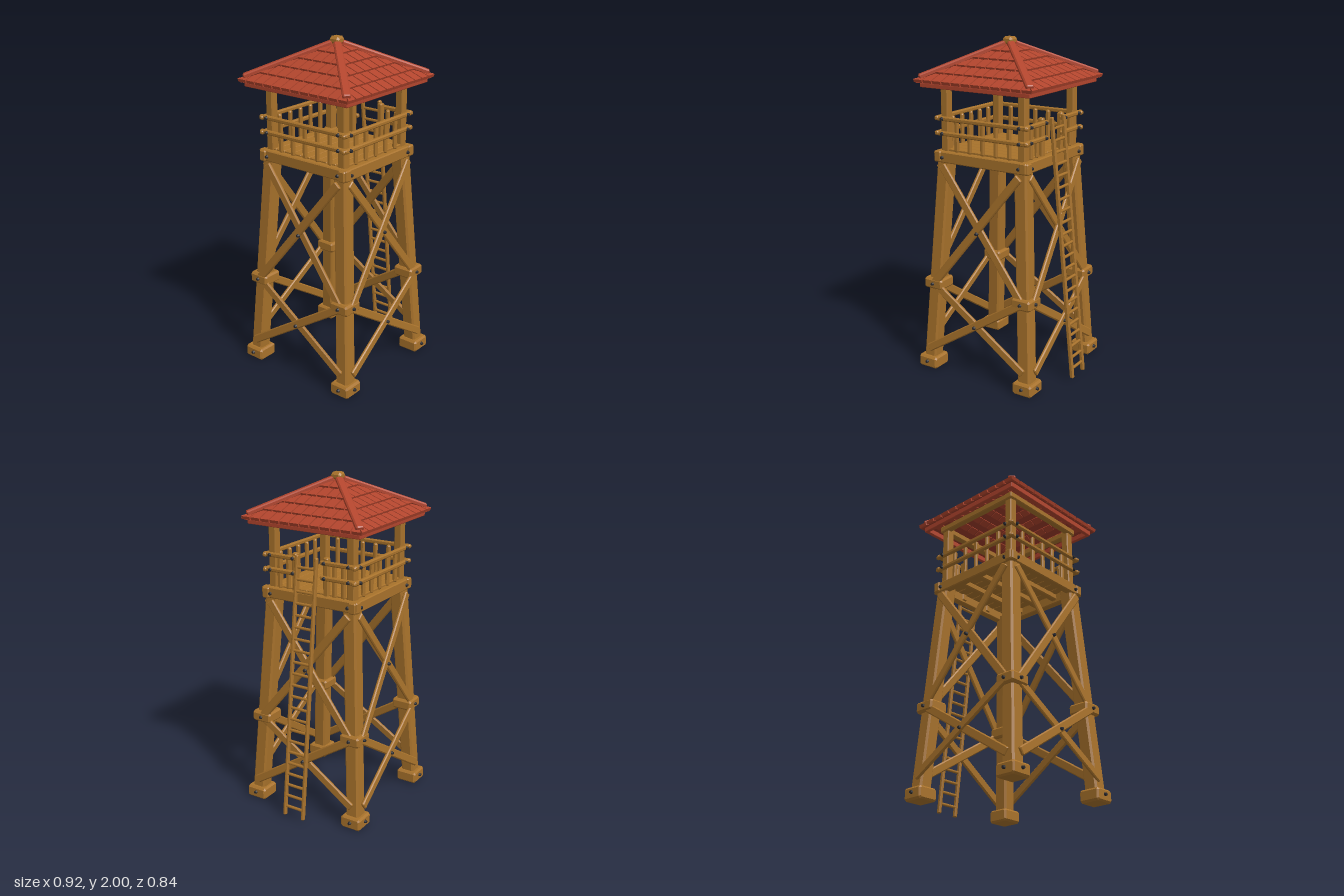
import * as THREE from 'three';

const mat = (name, color) => {
  const m = new THREE.MeshStandardMaterial({ color });
  m.name = name;
  return m;
};

export function createModel() {
  const wood = mat('wood', 0xa8722b);
  const red = mat('roof red', 0xb2452d);
  const redDeck = mat('roof underside red', 0x9a3a28);
  redDeck.side = THREE.DoubleSide;
  const iron = mat('iron', 0x2b2b30);

  const model = new THREE.Group();
  model.name = 'watchtower';
  const tower = new THREE.Group();
  tower.name = 'tower';
  tower.position.x = -0.045;
  model.add(tower);

  const V = (x, y, z) => new THREE.Vector3(x, y, z);

  // Box with cut edges, centred on the origin
  function chamferBox(w, h, d, c = 0.006) {
    const x = w / 2 - c, y = h / 2 - c;
    const k = c * 0.6;
    const s = new THREE.Shape([
      [-x + k, -y], [x - k, -y], [x, -y + k], [x, y - k],
      [x - k, y], [-x + k, y], [-x, y - k], [-x, -y + k],
    ].map(([a, b]) => new THREE.Vector2(a, b)));
    const g = new THREE.ExtrudeGeometry(s, {
      depth: d - 2 * c, bevelEnabled: true, bevelSize: c, bevelThickness: c, bevelSegments: 1,
    });
    return g.translate(0, 0, -(d / 2 - c));
  }

  function block(parent, name, size, pos, m = wood, c) {
    const mesh = new THREE.Mesh(chamferBox(...size, c), m);
    mesh.name = name;
    mesh.position.set(...pos);
    parent.add(mesh);
    return mesh;
  }

  // Timber from a to b; thickness is measured along the given normal
  function beam(parent, name, a, b, width, thick, normal, m = wood, c = 0.005) {
    const z = b.clone().sub(a), len = z.length();
    z.normalize();
    const x = normal.clone().cross(z).normalize();
    const y = z.clone().cross(x);
    const mesh = new THREE.Mesh(chamferBox(width, thick, len, c), m);
    mesh.name = name;
    mesh.quaternion.setFromRotationMatrix(new THREE.Matrix4().makeBasis(x, y, z));
    mesh.position.copy(a).add(b).multiplyScalar(0.5);
    parent.add(mesh);
    return mesh;
  }

  // Bolt head facing +z
  const boltGeo = new THREE.CylinderGeometry(0.008, 0.012, 0.016, 8).rotateX(Math.PI / 2);
  function bolt(parent, x, y, z) {
    const b = new THREE.Mesh(boltGeo, iron);
    b.name = 'bolt';
    b.position.set(x, y, z);
    parent.add(b);
  }

  const legAt = y => 0.345 - 0.062 * y; // leg offset from the axis at height y
  const faceNormal = V(0, 0.062, 1).normalize();
  const slope = 0.53, eave = 0.4, eaveY = 1.742;
  const roofY = d => eaveY + (eave - d) * slope;

  // Everything that repeats on the four sides
  for (let k = 0; k < 4; k++) {
    const side = new THREE.Group();
    side.name = ['frontSide', 'leftSide', 'backSide', 'rightSide'][k];
    side.rotation.y = k * Math.PI / 2;
    tower.add(side);
    const ladderSide = k === 1;

    // Corner: foot, leaning leg, collar and upper post
    block(side, 'foot', [0.13, 0.075, 0.13], [0.342, 0.0375, 0.342], wood, 0.01);
    beam(side, 'leg', V(legAt(0.05), 0.05, legAt(0.05)), V(legAt(1.33), 1.33, legAt(1.33)),
      0.084, 0.084, V(0, 0, 1), wood, 0.009);
    block(side, 'collar', [0.128, 0.066, 0.128], [legAt(0.545), 0.545, legAt(0.545)], wood, 0.01);
    block(side, 'post', [0.05, 0.42, 0.05], [0.263, 1.55, 0.263]);

    // Crossed braces on the outer face
    const p = (x, y, off) => V(x, y, legAt(y) + off);
    for (const s of [-1, 1]) {
      const off = s > 0 ? 0.053 : 0.044;
      beam(side, 'lowerBrace', p(-s * 0.335, 0.13, off), p(s * 0.32, 0.55, off), 0.05, 0.02, faceNormal);
      beam(side, 'upperBrace', p(-s * 0.31, 0.545, off), p(s * 0.268, 1.27, off), 0.05, 0.02, faceNormal);
      bolt(side, s * 0.342, 0.042, 0.411);
      bolt(side, s * legAt(0.545), 0.545, legAt(0.545) + 0.067);
      bolt(side, s * 0.263, 1.318, 0.319);
    }
    bolt(side, 0, 0.337, legAt(0.337) + 0.067);
    bolt(side, 0, 0.908, legAt(0.908) + 0.067);

    // Platform edge beam
    const lift = k % 2 ? 0.003 : 0;
    block(side, 'platformBeam', [0.65, 0.066, 0.045], [0, 1.32 + lift, 0.293]);

    // Railing, open in the middle on the ladder side
    for (const y of [1.457, 1.544]) {
      const yy = y + lift;
      if (ladderSide) {
        for (const s of [-1, 1]) {
          block(side, 'rail', [0.24, 0.025, 0.024], [s * 0.195, yy, 0.3]);
          bolt(side, s * 0.105, yy, 0.314);
        }
      } else {
        block(side, 'rail', [0.64, 0.025, 0.024], [0, yy, 0.3]);
      }
      for (const s of [-1, 1]) bolt(side, s * 0.263, yy, 0.314);
    }
    const balusters = ladderSide ? [-0.215, -0.155, 0.155, 0.215] : [-0.18, -0.09, 0, 0.09, 0.18];
    for (const x of balusters) block(side, 'baluster', [0.026, 0.19, 0.022], [x, 1.447, 0.281]);
    if (ladderSide) {
      for (const s of [-1, 1]) block(side, 'gatePost', [0.034, 0.27, 0.034], [s * 0.105, 1.44, 0.28]);
    }

    // Roof frame and fascia
    block(side, 'roofFrame', [0.6, 0.04, 0.04], [0, 1.742 + lift, 0.28]);
    block(side, 'fascia', [0.74, 0.034, 0.022], [0, 1.742, 0.359], red, 0.003);

    // Overlapping rows of tiles, cut along the hips
    const angle = Math.atan(slope), pitch = 0.066;
    for (let r = 0; r < 5; r++) {
      const d0 = eave - 0.075 * r, d1 = Math.max(d0 - 0.088, 0.012);
      const run = (d0 - d1) / Math.cos(angle);
      const shift = r % 2 ? 0 : pitch / 2;
      for (let i = -7; i <= 7; i++) {
        const c = i * pitch + shift, h = pitch / 2 - 0.004;
        const clamp = (u, d) => Math.min(d, Math.max(-d, u));
        const a = clamp(c - h, d0), b = clamp(c + h, d0);
        if (b - a < 0.008) continue;
        const e = clamp(c - h, d1), f = clamp(c + h, d1);
        const pts = [[a, 0], [b, 0], [f, run]];
        if (f - e > 0.002) pts.push([e, run]);
        const shape = new THREE.Shape(pts.map(q => new THREE.Vector2(...q)));
        const tile = new THREE.Mesh(
          new THREE.ExtrudeGeometry(shape, { depth: 0.019, bevelEnabled: false }), red);
        tile.name = 'roofTile';
        tile.rotation.x = -(Math.PI / 2 - angle + 0.13);
        tile.position.set(0, roofY(d0) + 0.012, d0 - 0.008);
        side.add(tile);
      }
    }

    // Hip ridge
    const up = V(slope, 1.4, slope).normalize();
    beam(side, 'hipRidge', V(0.02, roofY(0.02) + 0.02, 0.02), V(0.372, roofY(0.372) + 0.026, 0.372),
      0.045, 0.03, up, red, 0.006);
  }

  // Roof deck and apex cap
  const deckGeo = new THREE.ConeGeometry(0.385 * Math.SQRT2, 0.385 * slope, 4, 1, true)
    .rotateY(Math.PI / 4).toNonIndexed();
  deckGeo.computeVertexNormals();
  const deck = new THREE.Mesh(deckGeo, redDeck);
  deck.name = 'roofDeck';
  deck.position.y = roofY(0.385) + 0.385 * slope / 2;
  tower.add(deck);
  block(tower, 'roofCap', [0.068, 0.045, 0.068], [0, 1.9775, 0], wood, 0.012);

  // Floor planks on joists
  for (let i = 0; i < 9; i++) {
    block(tower, 'floorPlank', [0.56, 0.02, 0.058], [0, 1.356, (i - 4) * 0.063], wood, 0.003);
  }
  for (const x of [-0.14, 0, 0.14]) block(tower, 'joist', [0.04, 0.04, 0.56], [x, 1.326, 0]);

  // Ladder leaning on the left side
  const ladder = new THREE.Group();
  ladder.name = 'ladder';
  model.add(ladder);
  const foot = [0.44, 0.012], head = [0.276, 1.575];
  for (const s of [-1, 1]) {
    beam(ladder, 'ladderRail', V(foot[0], foot[1], s * 0.064), V(head[0], head[1], s * 0.064),
      0.021, 0.026, V(1, 0.1, 0));
  }
  const rungGeo = new THREE.CylinderGeometry(0.009, 0.009, 0.125, 8).rotateX(Math.PI / 2);
  for (let i = 0; i < 22; i++) {
    const y = 0.07 + i * 0.0685;
    const t = (y - foot[1]) / (head[1] - foot[1]);
    const rung = new THREE.Mesh(rungGeo, wood);
    rung.name = 'rung';
    rung.position.set(foot[0] + (head[0] - foot[0]) * t, y, 0);
    ladder.add(rung);
  }
  return model;
}
